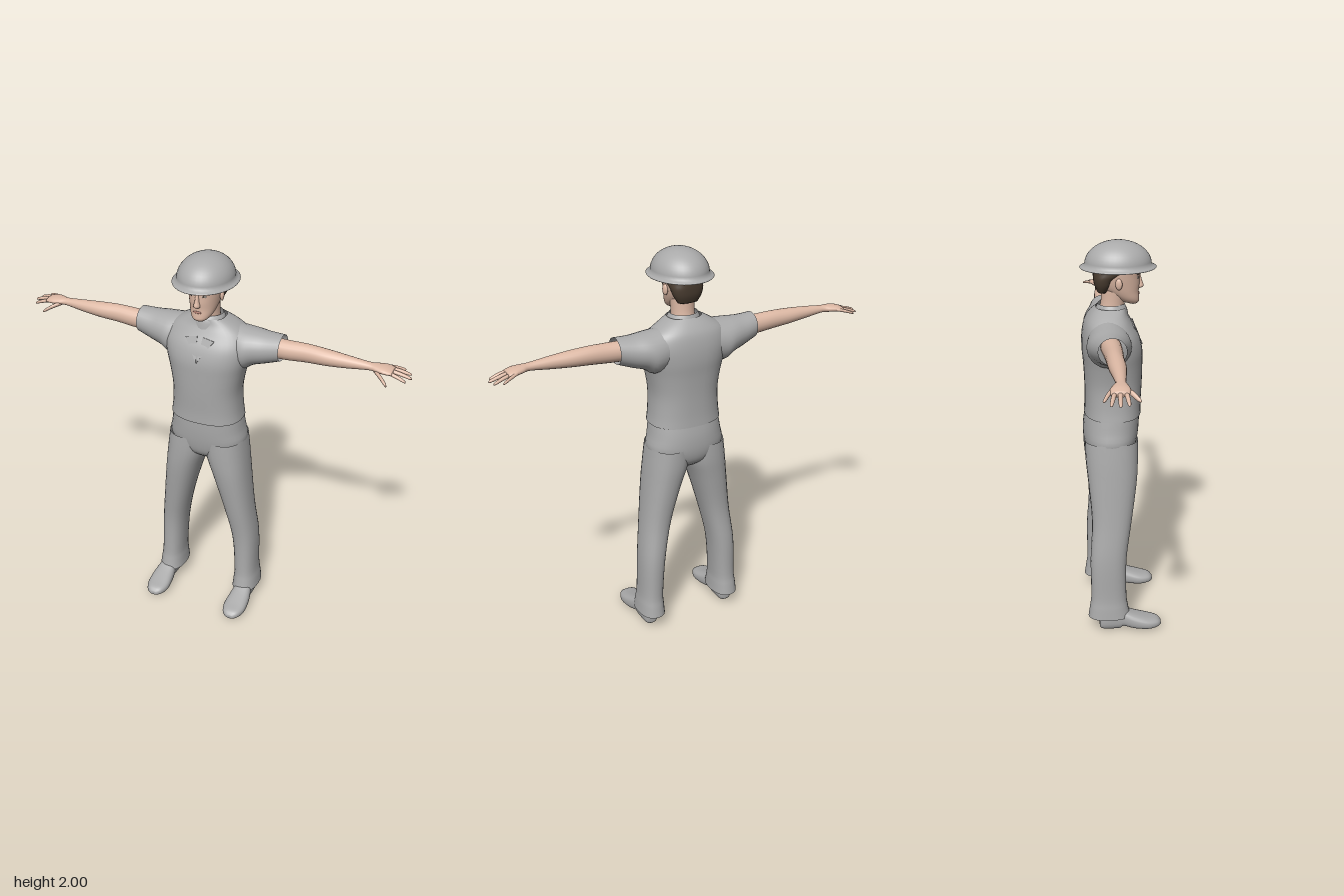
import * as THREE from 'three';

const mat = (name, color) => {
  const m = new THREE.MeshStandardMaterial({ color, side: THREE.DoubleSide });
  m.name = name;
  return m;
};

// Catmull-Rom blend of two neighbouring rows
const blend = (rows, i, t) => rows[i].map((b, k) => {
  const a = rows[Math.max(i - 1, 0)][k], c = rows[i + 1][k];
  const d = rows[Math.min(i + 2, rows.length - 1)][k];
  return b + 0.5 * t * (c - a + t * (2 * a - 5 * b + 4 * c - d + t * (3 * (b - c) + d - a)));
});

// Smooth skin over cross-sections given as [t, a0, a1, b0, b1], t rising.
// axis y: a = x, b = z;  axis x: a = z, b = y;  axis z: a = y, b = x
function loft(rows, { axis = 'y', n = 28, sub = 4, p = 2, caps = true } = {}) {
  const rings = [];
  for (let i = 0; i < rows.length - 1; i++)
    for (let s = 0; s < sub; s++) rings.push(blend(rows, i, s / sub));
  rings.push(rows[rows.length - 1]);
  const pos = [], idx = [];
  const put = (a, t, b) => pos.push(...(axis === 'y' ? [a, t, b] : axis === 'x' ? [t, b, a] : [b, a, t]));
  const bulge = v => Math.sign(v) * Math.abs(v) ** (2 / p);
  for (const [t, a0, a1, b0, b1] of rings)
    for (let j = 0; j < n; j++) {
      const th = (j / n) * Math.PI * 2;
      put((a0 + a1) / 2 + (a1 - a0) / 2 * bulge(Math.cos(th)), t,
        (b0 + b1) / 2 + (b1 - b0) / 2 * bulge(Math.sin(th)));
    }
  for (let r = 0; r < rings.length - 1; r++)
    for (let j = 0; j < n; j++) {
      const a = r * n + j, b = r * n + (j + 1) % n;
      idx.push(a, a + n, b, b, a + n, b + n);
    }
  if (caps) for (const r of [0, rings.length - 1]) {
    const [t, a0, a1, b0, b1] = rings[r], c = pos.length / 3;
    put((a0 + a1) / 2, t, (b0 + b1) / 2);
    for (let j = 0; j < n; j++) {
      const a = r * n + j, b = r * n + (j + 1) % n;
      idx.push(...(r ? [c, b, a] : [c, a, b]));
    }
  }
  const g = new THREE.BufferGeometry();
  g.setAttribute('position', new THREE.Float32BufferAttribute(pos, 3));
  g.setIndex(idx);
  g.computeVertexNormals();
  return g;
}

// Mirror a geometry across x = 0, keeping faces outward
function mirrored(geo) {
  const g = geo.clone();
  for (const key of ['position', 'normal']) {
    const at = g.attributes[key];
    for (let i = 0; i < at.count; i++) at.setX(i, -at.getX(i));
  }
  const ix = g.index ? [...g.index.array] : [...Array(g.attributes.position.count).keys()];
  for (let i = 0; i < ix.length; i += 3) [ix[i], ix[i + 1]] = [ix[i + 1], ix[i]];
  g.setIndex(ix);
  return g;
}

const blob = (x, y, z, sx, sy, sz, turn = 0) =>
  new THREE.SphereGeometry(1, 16, 10).scale(sx, sy, sz).rotateY(turn).translate(x, y, z);

export function createModel() {
  const model = new THREE.Group();
  const cloth = mat('grey cloth', 0xaaaaaa), skin = mat('skin', 0xdcb8a4);
  const hairMat = mat('dark brown hair', 0x4a3d31), eyeWhite = mat('eye white', 0xd8d2cc);
  const lipMat = mat('lips', 0xb98375);
  const add = (name, geo, material) => {
    const m = new THREE.Mesh(geo, material);
    m.name = name;
    model.add(m);
  };
  const pair = (name, geo, material) => {
    add(name + 'Left', geo, material);
    add(name + 'Right', mirrored(geo), material);
  };

  // Shirt: body, collar, lapels and sleeves
  add('shirt', loft([
    [1.14, -.186, .186, -.178, .105], [1.2, -.178, .178, -.175, .105], [1.3, -.174, .174, -.175, .11],
    [1.4, -.19, .19, -.18, .112], [1.48, -.21, .21, -.187, .11], [1.55, -.22, .22, -.184, .09],
    [1.61, -.195, .195, -.17, .056], [1.65, -.14, .14, -.145, .036], [1.68, -.085, .085, -.115, .03],
  ], { n: 40, p: 2.4, caps: false }), cloth);
  add('collar', loft([
    [1.63, -.09, .09, -.125, .045], [1.67, -.082, .082, -.115, .036], [1.695, -.07, .07, -.105, .022],
  ], { caps: false }), cloth);
  const flap = new THREE.Shape([[0, 0], [.075, .12], [.015, .13]].map(q => new THREE.Vector2(...q)));
  pair('lapel', new THREE.ExtrudeGeometry(flap, { depth: .006, bevelEnabled: false })
    .rotateX(-.39).translate(0, 1.48, .11), cloth);
  pair('sleeve', loft([
    [.12, -.16, .03, 1.44, 1.645], [.19, -.17, .045, 1.425, 1.638], [.24, -.162, .035, 1.455, 1.634],
    [.3, -.145, .02, 1.475, 1.63], [.375, -.125, .008, 1.503, 1.632],
  ], { axis: 'x', caps: false }), cloth);

  // Trousers: hips and two legs
  add('hips', loft([
    [.9, -.06, .06, -.12, .03], [.94, -.14, .14, -.165, .07], [1, -.2, .2, -.183, .087],
    [1.08, -.19, .19, -.183, .096], [1.16, -.178, .178, -.17, .098],
  ], { n: 36, p: 2.3 }), cloth);
  pair('trouserLeg', loft([
    [.075, .152, .29, -.178, .04], [.13, .156, .284, -.17, .028], [.2, .158, .276, -.162, .02],
    [.4, .142, .27, -.163, .022], [.6, .1, .247, -.152, .05], [.8, .043, .226, -.167, .078],
    [.92, .002, .213, -.178, .086], [1.02, -.01, .2, -.18, .086],
  ], { p: 2.3, caps: false }), cloth);

  // Shoes with a low heel and arch
  pair('shoe', loft([
    [-.12, .012, .08, .205, .252], [-.1, 0, .11, .188, .268], [-.02, 0, .12, .186, .27],
    [.005, .015, .112, .184, .274], [.06, .004, .088, .174, .286], [.13, 0, .064, .17, .289],
    [.18, .006, .05, .186, .272], [.2, .014, .032, .212, .248],
  ], { axis: 'z', p: 2.6 }), cloth);

  // Bare arms running into the palms
  pair('arm', loft([
    [.28, -.11, -.01, 1.51, 1.612], [.4, -.1, -.01, 1.515, 1.613], [.5, -.096, -.014, 1.524, 1.615],
    [.6, -.092, -.012, 1.531, 1.61], [.7, -.082, -.02, 1.541, 1.602], [.8, -.076, -.03, 1.554, 1.592],
    [.84, -.092, -.022, 1.554, 1.59], [.88, -.106, -.016, 1.552, 1.587], [.915, -.104, -.024, 1.552, 1.577],
  ], { axis: 'x', n: 20 }), skin);

  // Fingers: start x, z, y then tip x, z, y and radius
  const fingers = {
    littleFinger: [.87, -.095, 1.57, .955, -.135, 1.548, .009],
    ringFinger: [.89, -.084, 1.568, .99, -.106, 1.543, .01],
    middleFinger: [.89, -.062, 1.568, 1, -.068, 1.543, .0105],
    indexFinger: [.89, -.038, 1.568, .982, -.03, 1.54, .01],
    thumb: [.83, -.04, 1.565, .908, .022, 1.528, .012],
  };
  for (const [name, [x0, z0, y0, x1, z1, y1, r]] of Object.entries(fingers)) {
    const rows = [[0, 1], [.5, 1], [.9, .75], [1, .25]].map(([t, s]) => {
      const z = z0 + (z1 - z0) * t, y = y0 + (y1 - y0) * t * (.6 + .4 * t);
      return [x0 + (x1 - x0) * t, z - r * s, z + r * s, y - r * s * .9, y + r * s * .9];
    });
    pair(name, loft(rows, { axis: 'x', n: 10, sub: 3 }), skin);
  }

  // Neck and head
  add('neck', loft([
    [1.6, -.075, .075, -.11, .035], [1.66, -.06, .06, -.098, .025], [1.71, -.057, .057, -.09, .028],
    [1.77, -.06, .06, -.088, .04],
  ]), skin);
  add('head', loft([
    [1.693, -.022, .022, .05, .084], [1.705, -.04, .04, .01, .096], [1.725, -.054, .054, -.025, .096],
    [1.755, -.065, .065, -.07, .094], [1.79, -.073, .073, -.108, .097], [1.83, -.079, .079, -.118, .097],
    [1.87, -.081, .081, -.12, .099], [1.92, -.07, .07, -.1, .08],
  ], { n: 36, p: 2.1 }), skin);
  add('hair', loft([
    [1.755, -.052, .052, -.108, -.06], [1.79, -.073, .073, -.122, -.035], [1.825, -.083, .083, -.127, -.012],
    [1.85, -.085, .085, -.128, .05], [1.868, -.085, .085, -.128, .1], [1.92, -.073, .073, -.105, .085],
  ], { n: 36, p: 2.3 }), hairMat);
  add('nose', loft([
    [1.766, -.01, .01, .08, .1], [1.777, -.016, .016, .08, .117], [1.8, -.011, .011, .08, .111],
    [1.838, -.008, .008, .08, .1],
  ], { n: 16 }), skin);
  pair('ear', blob(.081, 1.805, -.008, .01, .028, .017, .25), skin);
  pair('eyeWhite', blob(.031, 1.826, .088, .013, .005, .004, .3), eyeWhite);
  pair('iris', blob(.031, 1.826, .0905, .0055, .005, .003, .3), hairMat);
  pair('eyebrow', blob(.033, 1.842, .089, .019, .0035, .004, .35), hairMat);
  add('mouth', blob(0, 1.743, .0935, .022, .006, .004), lipMat);

  // Helmet: thin domed shell with a narrow brim, longer than wide
  const profile = [[.154, 1.87], [.156, 1.873], [.148, 1.878], [.136, 1.885]];
  for (let i = 1; i <= 12; i++) {
    const t = (i / 12) * Math.PI / 2;
    profile.push([.136 * Math.cos(t), 1.885 + .115 * Math.sin(t)]);
  }
  add('helmet', new THREE.LatheGeometry(profile.map(q => new THREE.Vector2(Math.max(q[0], 0), q[1])), 40)
    .scale(1, 1, 1.19).translate(0, 0, -.006), cloth);

  return model;
}
